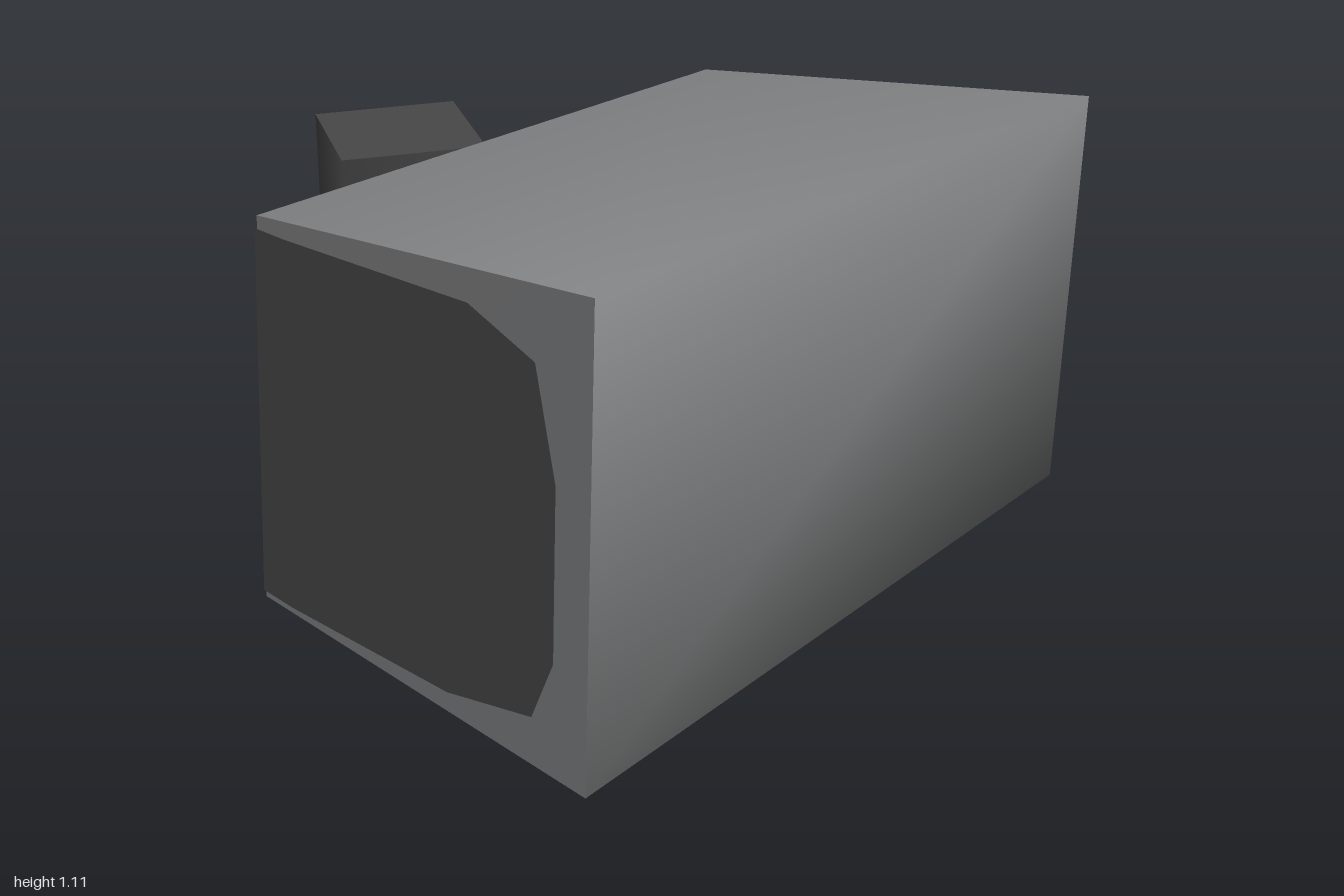
import * as THREE from 'three';

const lightGrey = new THREE.MeshStandardMaterial({ color: 0x808182 });
lightGrey.name = 'light grey';
const darkGrey = new THREE.MeshStandardMaterial({ color: 0x484848 });
darkGrey.name = 'dark grey';

const V = (x, y, z) => new THREE.Vector3(x, y, z);
const P = (x, y) => new THREE.Vector2(x, y);

// Body corners, listed back top, front top, front bottom, back bottom
const L = [V(-0.96, 1.02, -0.035), V(-0.84, 1.11, 0.89), V(-0.88, 0.085, 0.9), V(-1, 0.16, -0.03)];
const R = [V(0.53, 0.935, -0.355), V(1, 0.975, 0.465), V(0.95, 0, 0.475), V(0.486, 0.085, -0.35)];

// Bracket side triangles: base bottom, apex, base top
const bracketA = [V(0.27, 0.37, -0.3), V(0.17, 0.54, -0.78), V(0.27, 0.72, -0.3)];
const bracketB = [V(0.16, 0.37, -0.27), V(0.07, 0.54, -0.765), V(0.16, 0.72, -0.27)];

function mesh(name, geometry, material) {
  const m = new THREE.Mesh(geometry, material);
  m.name = name;
  return m;
}

// Surface from points; shared points are shaded smoothly
function surface(points, index) {
  const g = new THREE.BufferGeometry().setFromPoints(points);
  g.setIndex(index);
  g.computeVertexNormals();
  return g;
}
const face = (corners) =>
  surface(corners, corners.length === 4 ? [0, 1, 2, 0, 2, 3] : [0, 1, 2]);

// Thin painted patch: a (u, v) outline laid on a four-cornered face
// (corners: bottom left, bottom right, top right, top left)
function decal(name, corners, outline, material, hole) {
  const shape = new THREE.Shape(outline);
  if (hole) shape.holes.push(new THREE.Path(hole));
  const g = new THREE.ShapeGeometry(shape);
  const [a, b, c, d] = corners;
  const normal = c.clone().sub(a).cross(d.clone().sub(b)).normalize();
  const pos = g.attributes.position;
  for (let i = 0; i < pos.count; i++) {
    const u = pos.getX(i), v = pos.getY(i);
    const low = a.clone().lerp(b, u), high = d.clone().lerp(c, u);
    const p = low.lerp(high, v).addScaledVector(normal, 0.006);
    pos.setXYZ(i, p.x, p.y, p.z);
  }
  g.computeVertexNormals();
  return mesh(name, g, material);
}

function ellipse(cx, cy, rx, ry, n = 32) {
  return Array.from({ length: n }, (_, i) => {
    const t = (i / n) * Math.PI * 2;
    return P(cx + rx * Math.cos(t), cy + ry * Math.sin(t));
  });
}

// Lens-end position (z, y) to face coordinates
const toLensUV = (p) => {
  const u = (0.47 - p.x) / 0.825;
  return P(u, (p.y - 0.085 * u) / (0.975 - 0.125 * u));
};

export function createModel() {
  const model = new THREE.Group();
  model.name = 'securityCamera';

  // Housing: top, front and bottom wrap smoothly; back and ends are flat
  const strip = [];
  for (let i = 0; i < 3; i++) strip.push(i, i + 1, i + 4, i + 1, i + 5, i + 4);
  const lensEnd = [R[2], R[3], R[0], R[1]];
  const rearEnd = [L[3], L[2], L[1], L[0]];
  const wallSide = [R[3], L[3], L[0], R[0]];
  model.add(
    mesh('housing', surface([...L, ...R], strip), lightGrey),
    mesh('lensEnd', face(lensEnd), darkGrey),
    mesh('rearEnd', face(rearEnd), lightGrey),
    mesh('wallSide', face(wallSide), darkGrey)
  );

  // Lens ring, with its uneven outer edge
  const rim = [
    [0.365, 0.5], [0.335, 0.66], [0.25, 0.76], [0.13, 0.83], [0, 0.85], [-0.12, 0.83],
    [-0.24, 0.75], [-0.33, 0.68], [-0.345, 0.6], [-0.35, 0.5], [-0.33, 0.42], [-0.31, 0.31],
    [-0.24, 0.24], [-0.13, 0.185], [0, 0.165], [0.13, 0.18], [0.25, 0.26], [0.33, 0.37],
  ].map(([z, y]) => V(z, y, 0));
  const outer = new THREE.CatmullRomCurve3(rim, true).getPoints(72).slice(0, -1)
    .map((p) => toLensUV(p));
  const inner = ellipse(0.007, 0.517, 0.207, 0.193).map(toLensUV);
  model.add(decal('lensRing', lensEnd, outer, lightGrey, inner));

  // Screws and the short necks joining two of them to the ring
  const screws = [
    [0.24, 0.855, 0.052], [0.24, 0.785, 0.036], [-0.285, 0.78, 0.038],
    [-0.262, 0.735, 0.028], [0.24, 0.13, 0.038], [-0.28, 0.24, 0.036],
  ];
  for (const [z, y, r] of screws) {
    model.add(decal('screw', lensEnd, ellipse(z, y, r, r, 16).map(toLensUV), lightGrey));
  }

  // Pale edge beside the lens plate
  model.add(decal('lensEdge', lensEnd, [
    P(0, 0), P(0.09, 0), P(0.03, 0.1), P(0.012, 0.2),
    P(0.012, 0.8), P(0.03, 0.9), P(0.09, 1), P(0, 1),
  ], lightGrey));

  // Dark plate on the rear end
  model.add(decal('rearPlate', rearEnd, [
    P(0, 0.02), P(0.1, 0.02), P(0.6, 0.05), P(0.85, 0.11), P(0.91, 0.25),
    P(0.91, 0.62), P(0.85, 0.85), P(0.66, 0.93), P(0.1, 0.96), P(0, 0.97),
  ], darkGrey));

  // Round patch on the wall side
  model.add(decal('wallSideDisc', wallSide, ellipse(0.485, 0.51, 0.205, 0.28), lightGrey));

  // Triangular bracket with pale cheeks
  const bracket = new THREE.Group();
  bracket.name = 'bracket';
  bracket.add(
    mesh('bracketCheek', face(bracketA), darkGrey),
    mesh('bracketCheek', face([...bracketB].reverse()), darkGrey)
  );
  for (let i = 0; i < 3; i++) {
    const j = (i + 1) % 3;
    bracket.add(mesh('bracketEdge', face([bracketA[j], bracketA[i], bracketB[i], bracketB[j]]), darkGrey));
  }
  const cheek = [P(0, 0.22), P(0.22, 0), P(1, 0), P(1, 1), P(0.22, 1), P(0, 0.78)];
  const [a, b, c] = bracketA, [d, e, f] = bracketB;
  bracket.add(
    decal('cheekPaint', [a, b, b, c], cheek, lightGrey),
    decal('cheekPaint', [e, d, f, e], cheek.map((p) => P(1 - p.x, p.y)).reverse(), lightGrey)
  );
  model.add(bracket);

  // Square wall mount with softly shaded sides
  const mount = mesh('wallMount', new THREE.CylinderGeometry(0.244, 0.244, 0.715, 4), darkGrey);
  mount.position.set(-0.17, 0.4925, -0.675);
  mount.rotation.y = 0.38;
  model.add(mount);

  return model;
}
